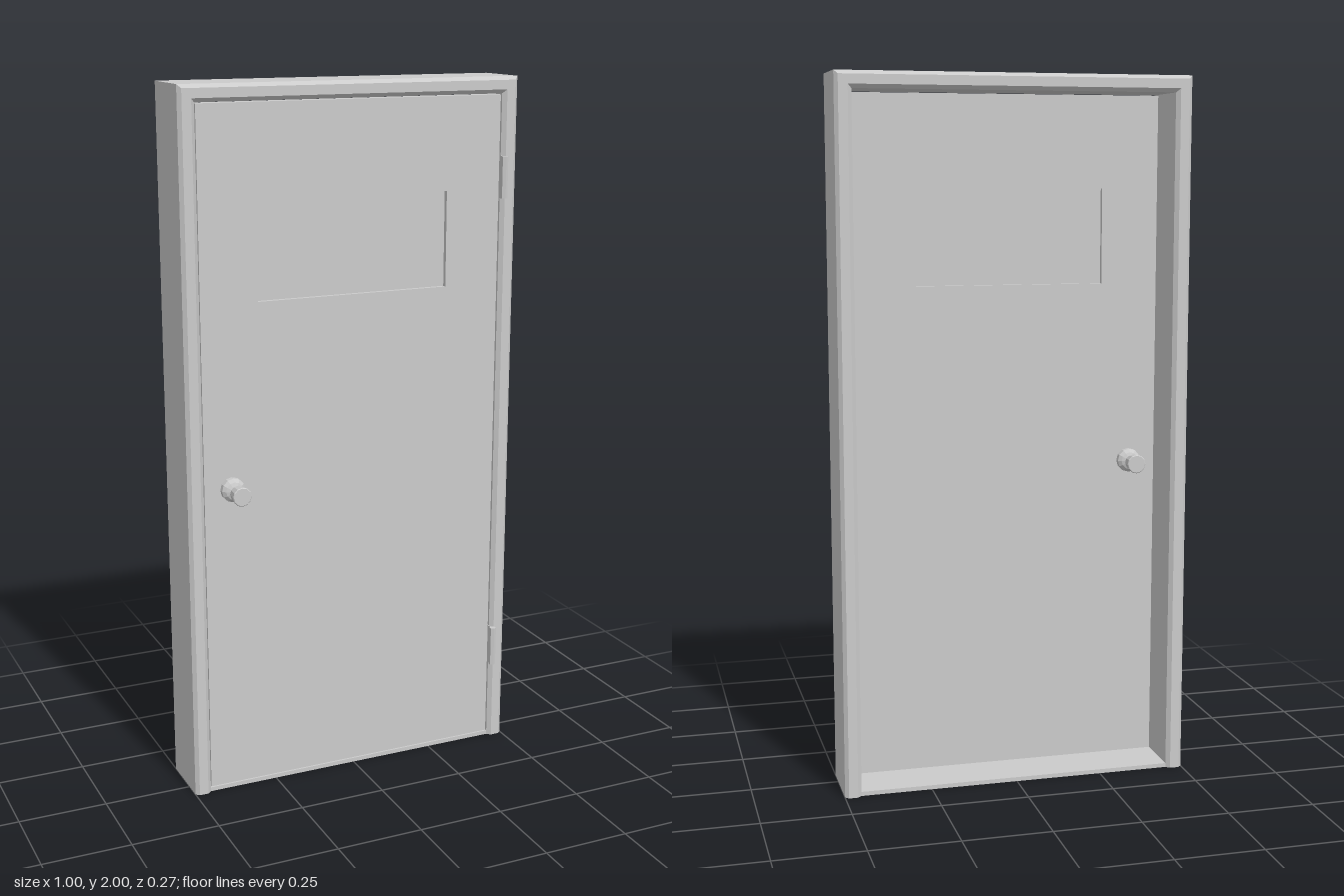
import * as THREE from 'three';

const mat = new THREE.MeshStandardMaterial({ color: 0xcccccc, flatShading: true });

function add(group, name, geometry, x = 0, y = 0, z = 0) {
  const mesh = new THREE.Mesh(geometry, mat);
  mesh.name = name;
  mesh.position.set(x, y, z);
  group.add(mesh);
  return mesh;
}

// Bevelled section swept up one jamb, across the head and down the other
function frameGeometry() {
  // [inset from the outer edge, z]
  const section = [
    [0, -0.125], [0, 0.052], [0.01, 0.062], [0.036, 0.062],
    [0.047, 0.052], [0.047, -0.125], [0.036, -0.135], [0.01, -0.135],
  ];
  const stations = [
    (u, z) => [-0.5 + u, 0, z], (u, z) => [-0.5 + u, 2 - u, z],
    (u, z) => [0.5 - u, 2 - u, z], (u, z) => [0.5 - u, 0, z],
  ];
  const pos = [];
  const rings = stations.map((f) => section.map(([u, z]) => f(u, z)));
  const n = section.length;
  for (let s = 0; s < 3; s++) {
    for (let i = 0; i < n; i++) {
      const j = (i + 1) % n;
      const [a, b, c, d] = [rings[s][i], rings[s][j], rings[s + 1][j], rings[s + 1][i]];
      pos.push(...a, ...b, ...c, ...a, ...c, ...d);
    }
  }
  // Jamb feet
  for (const ring of [rings[0], [...rings[3]].reverse()]) {
    for (let i = 1; i < n - 1; i++) pos.push(...ring[0], ...ring[i + 1], ...ring[i]);
  }
  const g = new THREE.BufferGeometry();
  g.setAttribute('position', new THREE.Float32BufferAttribute(pos, 3));
  g.computeVertexNormals();
  return g;
}

function rectangle(Type, x0, y0, x1, y1) {
  return new Type([[x0, y0], [x1, y0], [x1, y1], [x0, y1]].map((p) => new THREE.Vector2(...p)));
}

export function createModel() {
  const model = new THREE.Group();
  model.name = 'door';

  add(model, 'frame', frameGeometry());
  add(model, 'sill', new THREE.BoxGeometry(0.906, 0.012, 0.177), 0, 0.006, -0.0365);

  // Door leaf with a window opening and a recessed pane
  const leaf = rectangle(THREE.Shape, -0.45, 0.014, 0.45, 1.95);
  leaf.holes.push(rectangle(THREE.Path, -0.285, 1.42, 0.285, 1.69));
  const back = 0.012, front = 0.05;
  add(model, 'doorLeaf',
    new THREE.ExtrudeGeometry(leaf, { depth: front - back, bevelEnabled: false }), 0, 0, back);
  add(model, 'windowPane', new THREE.BoxGeometry(0.57, 0.27, 0.012), 0, 1.555, (front + back) / 2);

  // Rosette, neck and flared knob in one profile, fitted on both faces
  const profile = [
    [0, 0], [0.034, 0], [0.034, 0.015], [0.025, 0.023], [0.012, 0.028],
    [0.012, 0.044], [0.022, 0.046], [0.027, 0.083], [0.025, 0.085], [0, 0.085],
  ].map((p) => new THREE.Vector2(...p));
  const knob = new THREE.LatheGeometry(profile, 12);
  add(model, 'frontKnob', knob, -0.37, 0.903, front).rotation.x = Math.PI / 2;
  add(model, 'backKnob', knob, -0.37, 0.903, back).rotation.x = -Math.PI / 2;

  // Hinge barrels with a thin leaf running back into the gap
  for (const y of [0.303, 1.722]) {
    const hinge = new THREE.Group();
    hinge.name = 'hinge';
    hinge.position.set(0.455, y, 0.072);
    add(hinge, 'barrel', new THREE.CylinderGeometry(0.01, 0.01, 0.118, 6));
    add(hinge, 'hingeLeaf', new THREE.BoxGeometry(0.003, 0.118, 0.03), -0.003, 0, -0.016);
    model.add(hinge);
  }
  return model;
}
